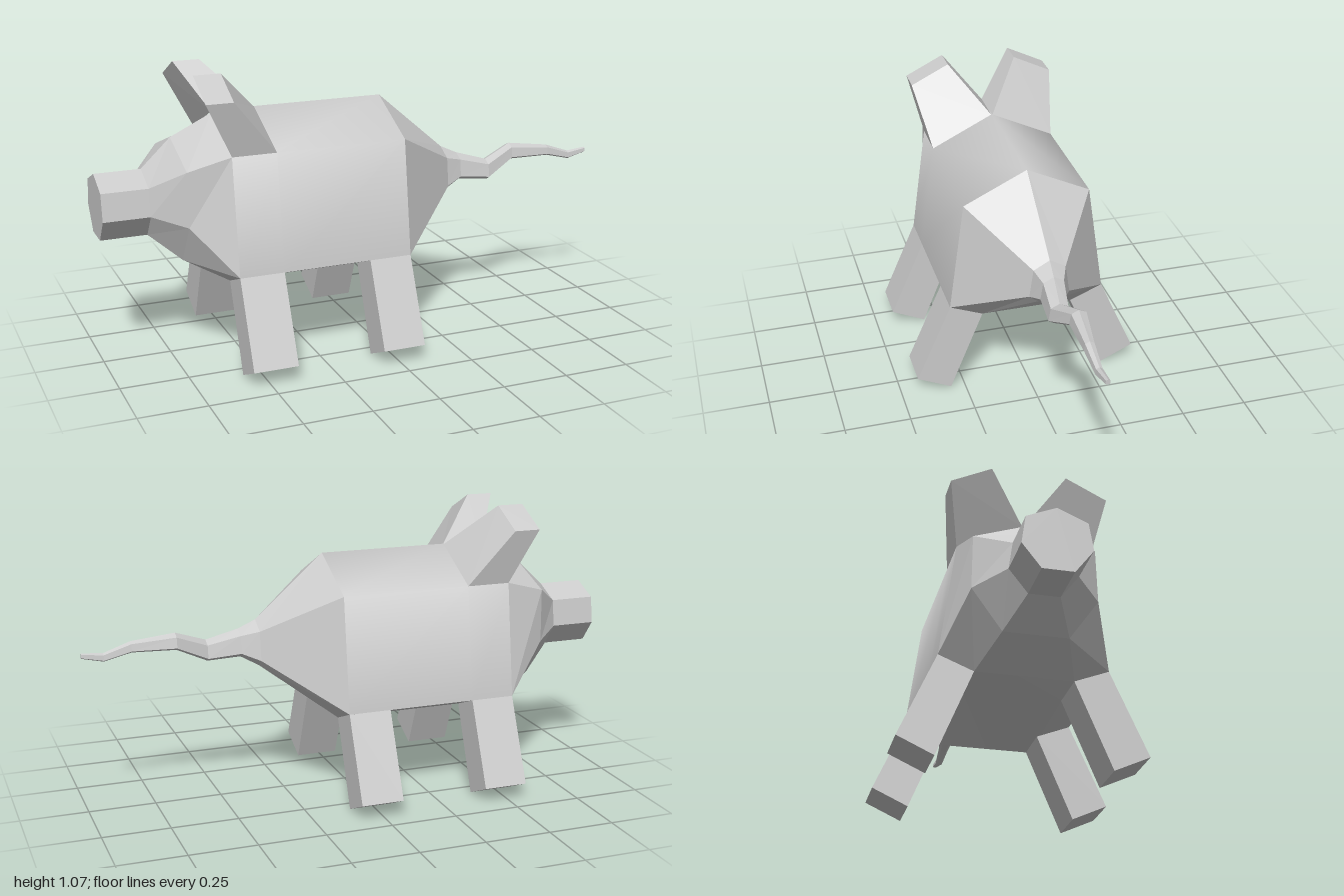
import * as THREE from 'three';
import { toCreasedNormals } from 'three/addons/utils/BufferGeometryUtils.js';

// Skin a list of rings (arrays of [x, y, z], counter-clockwise seen from the far end).
function loft(rings, capStart, capEnd) {
  const out = [];
  const tri = (a, b, c) => out.push(...a, ...b, ...c);
  for (let r = 0; r + 1 < rings.length; r++) {
    const a = rings[r], b = rings[r + 1];
    for (let i = 0; i < a.length; i++) {
      const j = (i + 1) % a.length;
      tri(a[i], a[j], b[i]);
      tri(a[j], b[j], b[i]);
    }
  }
  const first = rings[0], last = rings[rings.length - 1];
  for (let i = 1; i + 1 < first.length; i++) {
    if (capStart) tri(first[0], first[i + 1], first[i]);
    if (capEnd) tri(last[0], last[i], last[i + 1]);
  }
  const g = new THREE.BufferGeometry();
  g.setAttribute('position', new THREE.Float32BufferAttribute(out, 3));
  g.computeVertexNormals();
  return g;
}

// Seven-sided section: ridge, then [y, z] of the upper, lower and bottom corners.
function section(x, top, upper, lower, bottom) {
  const side = [upper, lower, bottom];
  return [
    [x, top, 0],
    ...side.map(([y, z]) => [x, y, z]),
    ...side.reverse().map(([y, z]) => [x, y, -z]),
  ];
}

// Small tail section with the trunk's proportions, shifted sideways by zc.
function tailSection([x, top, bottom, zc, w]) {
  const h = top - bottom;
  return section(x, top, [bottom + 0.8 * h, 0.8 * w], [bottom + 0.15 * h, w], [bottom, 0.55 * w])
    .map(([px, y, z]) => [px, y, z + zc]);
}

const mirrorRing = (ring) => ring.map(([x, y, z]) => [x, y, -z]).reverse();

export function createModel() {
  const model = new THREE.Group();
  const flat = new THREE.MeshStandardMaterial({ color: 0xcccccc, flatShading: true });
  const smooth = new THREE.MeshStandardMaterial({ color: 0xcccccc });
  const add = (name, geometry, material = flat) => {
    const mesh = new THREE.Mesh(geometry, material);
    mesh.name = name;
    model.add(mesh);
  };

  const trunk = (x, top = 0.905) => section(x, top, [0.79, 0.24], [0.365, 0.3], [0.315, 0.175]);
  const snout = (x) => section(x, 0.715, [0.67, 0.105], [0.57, 0.12], [0.485, 0.055]);

  // Trunk with a soft back and flanks
  add('body', toCreasedNormals(loft([trunk(-0.565, 0.895), trunk(-0.4), trunk(0.09)]), 1.05), smooth);

  // Head tapering forward to the snout
  add('head', loft([
    snout(-0.83),
    section(-0.72, 0.82, [0.745, 0.215], [0.545, 0.22], [0.395, 0.115]),
    trunk(-0.565, 0.895),
  ]));
  add('snout', loft([snout(-1), snout(-0.83)], true, false));

  // Rump and wavy tail: x, top, bottom, sideways offset, half width
  const tail = [
    [0.355, 0.675, 0.51, -0.008, 0.075],
    [0.42, 0.645, 0.545, -0.003, 0.048],
    [0.54, 0.61, 0.535, 0.012, 0.04],
    [0.66, 0.655, 0.595, -0.018, 0.034],
    [0.82, 0.635, 0.595, -0.004, 0.02],
    [0.92, 0.6, 0.57, -0.004, 0.014],
    [1, 0.607, 0.588, -0.006, 0.009],
  ].map(tailSection);
  add('rump', loft([trunk(0.09), tail[0]]));
  add('tail', loft(tail, false, true));

  // Splayed legs and swept ears, mirrored across z
  const legRing = (x0, x1, yIn, zIn, yOut, zOut) =>
    [[x0, yIn, zIn], [x1, yIn, zIn], [x1, yOut, zOut], [x0, yOut, zOut]];
  const earRing = (x0, x1, yIn, zIn, yOut, zOut) =>
    [[x0, yIn, zIn], [x0, yOut, zOut], [x1, yOut, zOut], [x1, yIn, zIn]];
  const leg = (x0, x1) => [
    legRing(x0, x1, 0.315, 0.175, 0.365, 0.3),
    legRing(x0, x1, 0, 0.305, 0.06, 0.435),
  ];
  const parts = {
    FrontLeg: leg(-0.565, -0.4),
    BackLeg: leg(-0.07, 0.09),
    Ear: [
      earRing(-0.565, -0.4, 0.9, 0, 0.79, 0.24),
      earRing(-0.665, -0.565, 1.065, 0.135, 0.993, 0.282),
    ],
  };
  for (const [name, rings] of Object.entries(parts)) {
    add('near' + name, loft(rings, false, true));
    add('far' + name, loft(rings.map(mirrorRing), false, true));
  }
  return model;
}
